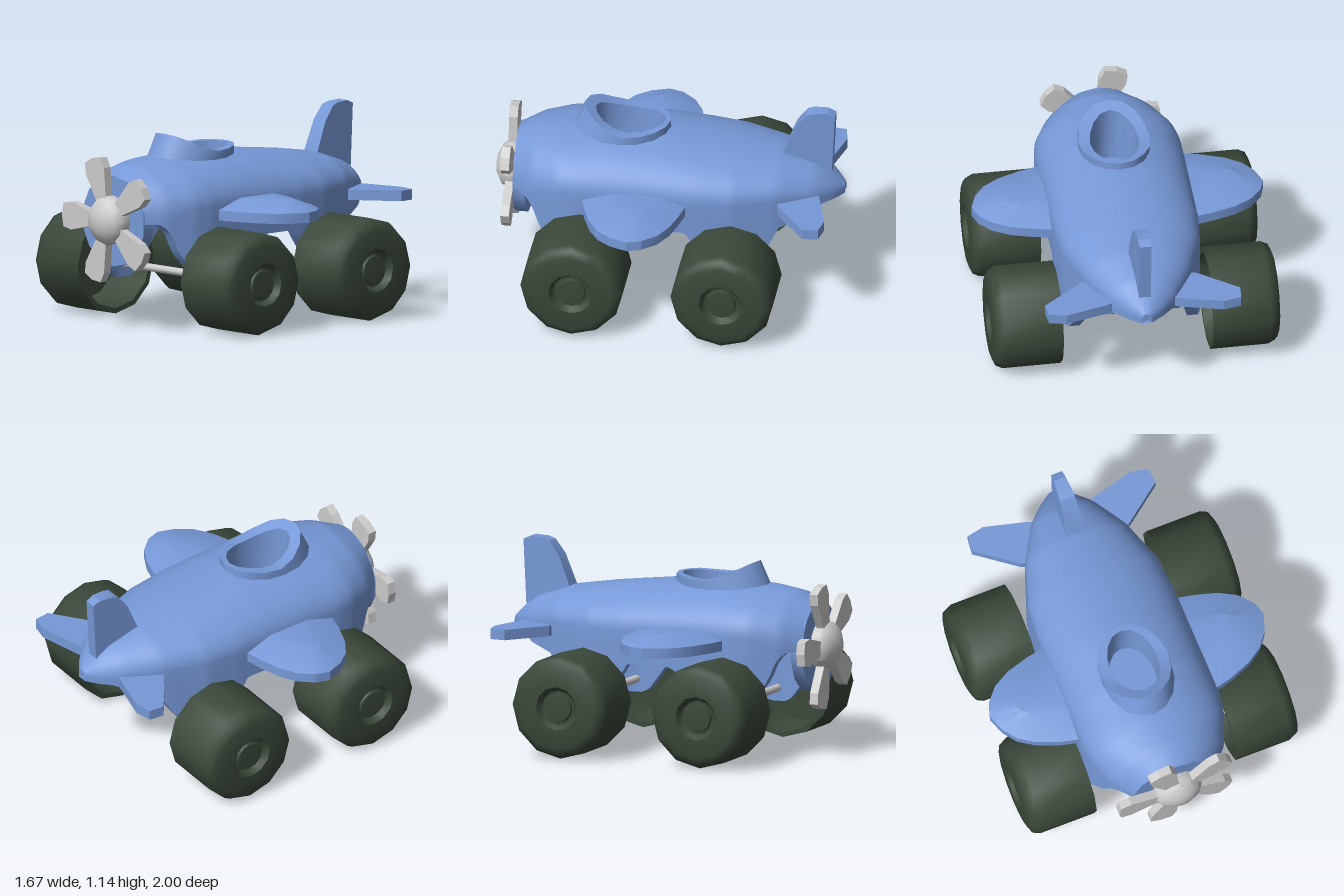
import * as THREE from 'three';
import { toCreasedNormals } from 'three/addons/utils/BufferGeometryUtils.js';

const mat = (color) => new THREE.MeshStandardMaterial({ color, side: THREE.DoubleSide });
const BLUE = mat(0x7799d8), TYRE = mat(0x3a483a), GREY = mat(0xcccccc);

// Piecewise linear lookup in [position, value] keys
function at(keys, z) {
  if (z <= keys[0][0]) return keys[0][1];
  for (let i = 1; i < keys.length; i++) {
    const [a, va] = keys[i - 1], [b, vb] = keys[i];
    if (z <= b) return va + (vb - va) * (z - a) / (b - a);
  }
  return keys[keys.length - 1][1];
}

// Skin between equal-length rows of points; optional wrap, end caps and face filter
function loft(rows, { closed = true, capStart = false, capEnd = false, keep = null, crease = 0.6 } = {}) {
  const n = rows[0].length, pos = rows.flat(2), idx = [];
  for (let i = 0; i < rows.length - 1; i++) {
    for (let j = 0; j < (closed ? n : n - 1); j++) {
      const k = (j + 1) % n;
      if (keep && !keep(rows[i][j], rows[i + 1][k])) continue;
      const a = i * n + j, b = i * n + k;
      idx.push(a, b, b + n, a, b + n, a + n);
    }
  }
  const cap = (row, base, flip) => {
    const c = [0, 1, 2].map((q) => row.reduce((s, p) => s + p[q], 0) / n);
    const m = pos.length / 3;
    pos.push(...c);
    for (let j = 0; j < n; j++) {
      const a = base + j, b = base + (j + 1) % n;
      idx.push(m, flip ? b : a, flip ? a : b);
    }
  };
  if (capStart) cap(rows[0], 0, true);
  if (capEnd) cap(rows[rows.length - 1], (rows.length - 1) * n, false);
  const g = new THREE.BufferGeometry();
  g.setAttribute('position', new THREE.Float32BufferAttribute(pos, 3));
  g.setIndex(idx);
  return toCreasedNormals(g, crease);
}

// Fuselage keys along z: half width, crown, shoulder height and lower edge
const WIDTH = [[-1, 0.03], [-0.95, 0.1], [-0.86, 0.19], [-0.65, 0.31], [-0.4, 0.395], [-0.2, 0.415],
  [0.3, 0.42], [0.5, 0.42], [0.6, 0.405], [0.76, 0.34], [0.87, 0.25]];
const CROWN = [[-1, 0.68], [-0.92, 0.755], [-0.84, 0.81], [-0.65, 0.873], [-0.4, 0.91], [0, 0.955],
  [0.3, 0.965], [0.55, 0.95], [0.74, 0.925], [0.87, 0.87]];
const SHOULDER = [[-1, 0.65], [-0.9, 0.66], [-0.65, 0.7], [0.6, 0.7], [0.87, 0.62]];
const EDGE = [[-0.88, 0.62], [-0.82, 0.565], [-0.65, 0.52], [-0.63, 0.45], [-0.48, 0.24], [-0.44, 0.22],
  [-0.37, 0.22], [-0.33, 0.24], [-0.17, 0.46], [-0.14, 0.51], [0.11, 0.51], [0.2, 0.46], [0.37, 0.24],
  [0.41, 0.22], [0.5, 0.22], [0.54, 0.24], [0.7, 0.45], [0.75, 0.58], [0.8, 0.62]];
const BELLY = 0.62;

// One arch section, from the left lower edge over the crown to the right lower edge
function arch(z) {
  const w = at(WIDTH, z), b = at(EDGE, z), c = at(SHOULDER, z), t = at(CROWN, z);
  const pts = [];
  for (let j = 0; j < 4; j++) pts.push([w, b + (c - b) * j / 4, z]);
  for (let j = 0; j <= 28; j++) {
    const a = Math.PI * j / 28;
    pts.push([w * Math.cos(a), c + (t - c) * Math.sin(a), z]);
  }
  for (let j = 3; j >= 0; j--) pts.push([-w, b + (c - b) * j / 4, z]);
  return pts;
}

// Inside of the side walls and the flat belly between them, right to left
function underside(z) {
  const w = Math.max(at(WIDTH, z) - 0.06, 0.004), b = at(EDGE, z);
  return [[-w, b, z], [-w, BELLY, z], [w, BELLY, z], [w, b, z]];
}

function fuselage() {
  const g = new THREE.Group();
  g.name = 'fuselage';
  const zs = Array.from({ length: 73 }, (_, i) => -1 + 1.87 * i / 72);
  const outer = zs.map(arch), inner = zs.map(underside);
  // Leave the cockpit opening free
  const keep = (p, q) => {
    const x = (p[0] + q[0]) / 2, z = (p[2] + q[2]) / 2;
    return (p[1] + q[1]) / 2 < 0.75 || (x / 0.17) ** 2 + ((z - 0.235) / 0.225) ** 2 > 1;
  };
  const last = outer[0].length - 1;
  add(g, 'outerShell', loft(outer, { closed: false, keep, crease: 0.7 }), BLUE);
  add(g, 'underside', loft(inner, { closed: false }), BLUE);
  add(g, 'leftLowerRim', loft([inner.map((r) => r[3]), outer.map((r) => r[0])], { closed: false }), BLUE);
  add(g, 'rightLowerRim', loft([outer.map((r) => r[last]), inner.map((r) => r[0])], { closed: false }), BLUE);
  add(g, 'tailTip', loft([outer[0], outer[0].map(() => [0, 0.64, -1])], { closed: false }), BLUE);
  return g;
}

function add(parent, name, geometry, material) {
  const m = new THREE.Mesh(geometry, material);
  m.name = name;
  parent.add(m);
  return m;
}

// Cockpit surround with raised windscreen and a sunken well
function cockpit() {
  const rim = [[0, 0.995], [0.1, 0.99], [0.2, 0.975], [0.27, 0.98], [0.35, 1.005], [0.455, 1.065], [0.49, 1.08]];
  const ring = (rx, rz, cz, y) => Array.from({ length: 16 }, (_, j) => {
    const a = Math.PI * 2 * j / 16, z = cz + rz * Math.cos(a);
    return [rx * Math.sin(a), y ?? at(rim, z), z];
  });
  return loft([ring(0.207, 0.285, 0.28, 0.92), ring(0.204, 0.245, 0.245), ring(0.14, 0.2, 0.23),
    ring(0.13, 0.19, 0.23, 0.72)], { capEnd: true });
}

// Flat or bevelled plate from an outline, stacked in y, for side s
function plate(layers, s) {
  const rows = layers.map(([y, pts]) => {
    const r = pts.map(([x, z]) => [x * s, y, z]);
    return s < 0 ? r.reverse() : r;
  });
  return loft(rows, { capStart: true, capEnd: true, crease: 0.4 });
}

const WING = [[0.38, 0.455], [0.52, 0.42], [0.65, 0.37], [0.74, 0.31], [0.8, 0.23], [0.835, 0.13],
  [0.81, 0.05], [0.74, -0.03], [0.64, -0.085], [0.52, -0.12], [0.38, -0.15]];
const WING_TOP = WING.map(([x, z]) => [0.38 + (x - 0.38) * 0.68, 0.14 + (z - 0.14) * 0.45]);
const TAILPLANE = [[0.25, -0.64], [0.33, -0.66], [0.56, -0.835], [0.55, -0.925], [0.45, -0.945],
  [0.2, -0.88], [0.13, -0.84]];
const FIN = [[-0.925, 0.72], [-0.945, 1.12], [-0.9, 1.14], [-0.82, 1.135], [-0.78, 1.12],
  [-0.72, 1.04], [-0.65, 0.865], [-0.65, 0.75]];

// Hollow wheel with rounded outer shoulder and recessed hub ring
function wheel(s) {
  const profile = [[0, 0.69], [0.24, 0.69], [0.265, 0.43], [0.294, 0.43], [0.294, 0.76], [0.275, 0.8],
    [0.235, 0.818], [0.125, 0.82], [0.1, 0.785], [0.085, 0.785], [0.08, 0.8], [0, 0.805]];
  const g = new THREE.LatheGeometry(profile.map(([r, x]) => new THREE.Vector2(r, x)), 12);
  return toCreasedNormals(g.rotateZ(-s * Math.PI / 2), 0.9);
}

function propeller() {
  const g = new THREE.Group();
  g.name = 'propeller';
  g.position.set(0, 0.622, 0);
  const dome = [[0, 0.865], [0.14, 0.87], [0.14, 0.925], [0.115, 0.962], [0.06, 0.99], [0, 1]];
  const spinner = new THREE.LatheGeometry(dome.map(([r, z]) => new THREE.Vector2(r, z)), 12).rotateX(Math.PI / 2);
  add(g, 'spinner', toCreasedNormals(spinner, 0.7), GREY);
  const outline = [[0.08, -0.04], [0.14, -0.045], [0.29, -0.08], [0.353, -0.068], [0.366, 0],
    [0.353, 0.068], [0.29, 0.08], [0.14, 0.045], [0.08, 0.04]];
  const shape = new THREE.Shape(outline.map(([x, y]) => new THREE.Vector2(x, y)));
  const blade = new THREE.ExtrudeGeometry(shape, { depth: 0.05, bevelEnabled: false }).translate(0, 0, 0.88);
  for (let i = 0; i < 5; i++) add(g, 'blade', blade, GREY).rotation.z = Math.PI + i * Math.PI * 0.4;
  return g;
}

export function createModel() {
  const model = new THREE.Group();
  model.name = 'planeCar';
  model.add(fuselage(), propeller());
  add(model, 'cockpit', cockpit(), BLUE);

  // Nose plate closing the front
  const nose = new THREE.CylinderGeometry(0.26, 0.26, 0.07, 14).rotateX(Math.PI / 2);
  add(model, 'nosePlate', toCreasedNormals(nose, 0.6), BLUE).position.set(0, 0.615, 0.835);

  // Upright tail fin, thinner towards the back
  const finSide = (s) => FIN.map(([z, y]) => [s * (0.055 + (z + 0.65) * 0.075), y, z]);
  add(model, 'tailFin', loft([finSide(-1), finSide(1)], { capStart: true, capEnd: true, crease: 0.3 }), BLUE);

  // Wings, tailplanes and wheels on both sides
  for (const [s, side] of [[1, 'left'], [-1, 'right']]) {
    add(model, side + 'Wing', plate([[0.622, WING], [0.68, WING], [0.735, WING_TOP]], s), BLUE);
    add(model, side + 'Tailplane', plate([[0.622, TAILPLANE], [0.682, TAILPLANE]], s), BLUE);
    for (const [z, end] of [[0.455, 'Front'], [-0.405, 'Rear']]) {
      add(model, side + end + 'Wheel', wheel(s), TYRE).position.set(0, 0.295, z);
    }
  }

  // Axles
  for (const [z, name] of [[0.455, 'frontAxle'], [-0.405, 'rearAxle']]) {
    const axle = new THREE.CylinderGeometry(0.022, 0.022, 1.02, 10).rotateZ(Math.PI / 2);
    add(model, name, axle, GREY).position.set(0, 0.295, z);
  }
  return model;
}
